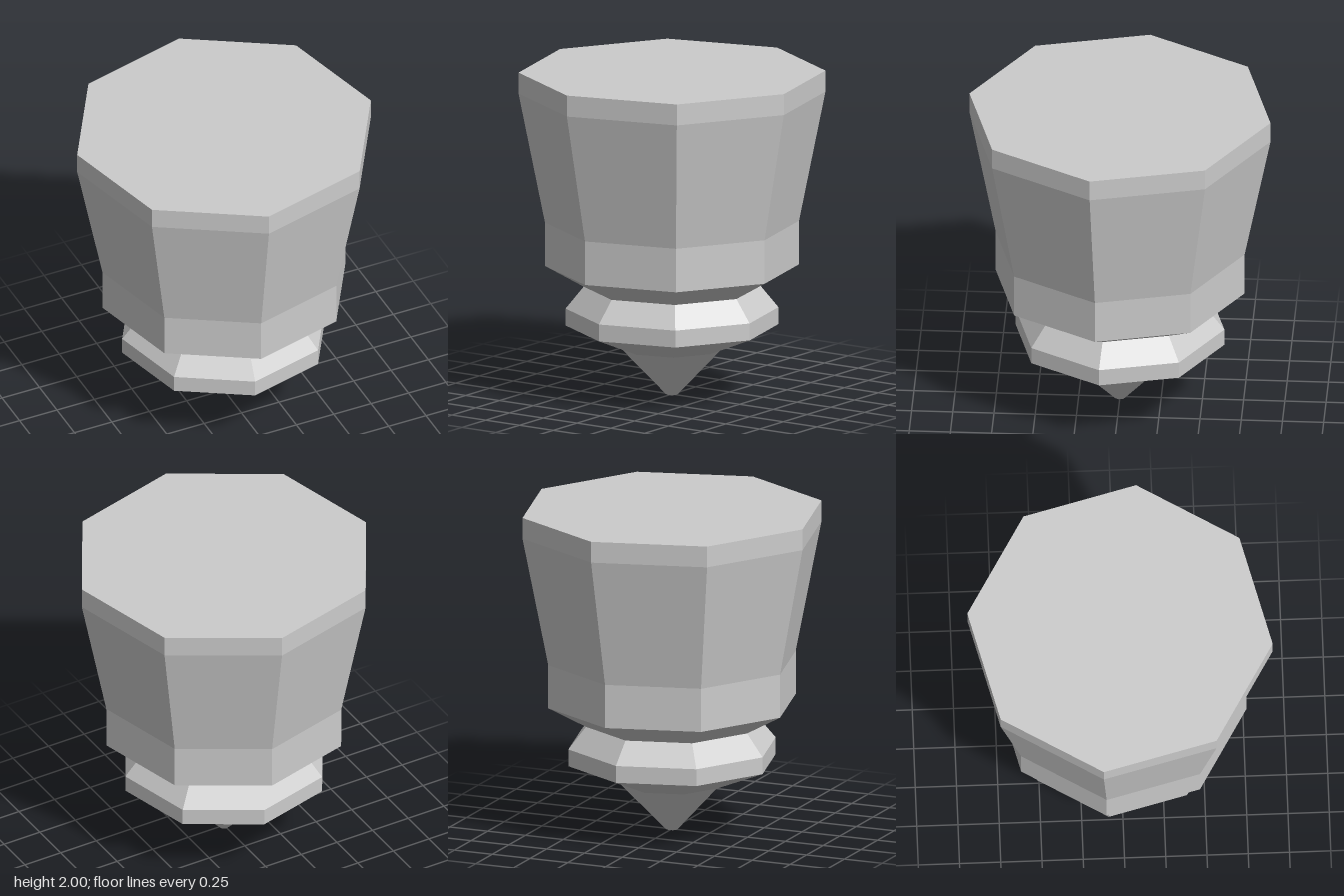
import * as THREE from 'three';

const SIDES = 8;
const TURN = THREE.MathUtils.degToRad(-8.1); // slight twist of the octagon

export function createModel() {
  const group = new THREE.Group();
  const material = new THREE.MeshStandardMaterial({ color: 0xcccccc, flatShading: true });

  // Faceted turning from [radius, height] pairs, listed bottom to top
  function turned(name, profile) {
    const points = profile.map(([r, y]) => new THREE.Vector2(r, y));
    const mesh = new THREE.Mesh(new THREE.LatheGeometry(points, SIDES, TURN), material);
    mesh.name = name;
    group.add(mesh);
  }

  // Pointed foot with a blunt tip
  turned('tip', [[0, 0], [0.036, 0], [0.318, 0.295], [0.645, 0.43]]);

  // Ring that narrows into the neck
  turned('collar', [[0.645, 0.43], [0.645, 0.535], [0.535, 0.67]]);

  // Flared cup above the neck
  turned('cup', [[0.535, 0.67], [0.77, 0.8], [0.77, 1.07], [0.93, 1.87]]);

  // Straight rim band closed by a flat top
  turned('rim', [[0.93, 1.87], [0.93, 2], [0, 2]]);

  return group;
}
